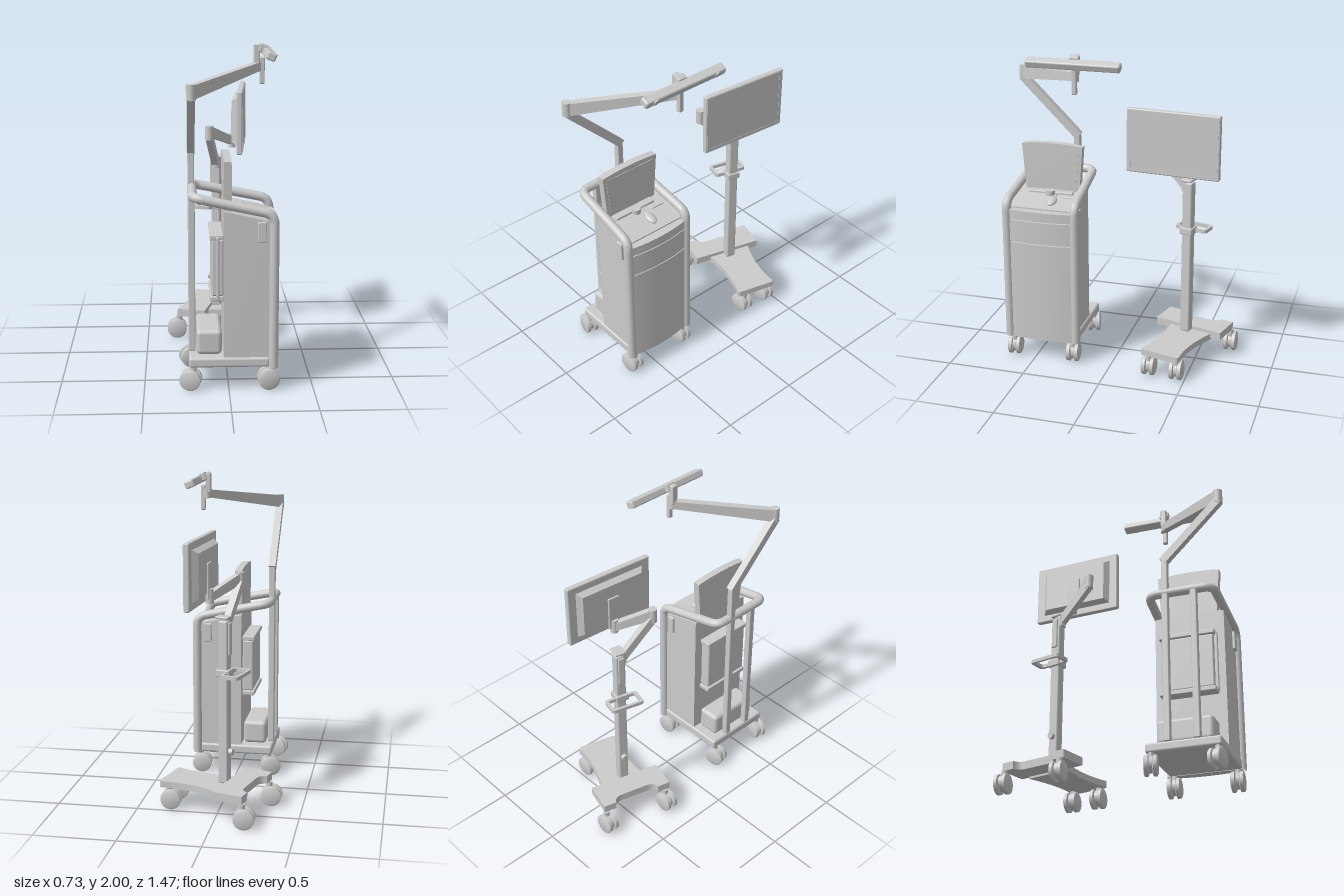
import * as THREE from 'three';
import { toCreasedNormals } from 'three/addons/utils/BufferGeometryUtils.js';
import { RoundedBoxGeometry } from 'three/addons/geometries/RoundedBoxGeometry.js';

const grey = new THREE.MeshStandardMaterial({ color: 0xcccccc, side: THREE.DoubleSide });
const V = (x, y, z) => new THREE.Vector3(x, y, z);

function add(parent, name, geometry, x = 0, y = 0, z = 0) {
  const mesh = new THREE.Mesh(geometry, grey);
  mesh.name = name;
  mesh.position.set(x, y, z);
  parent.add(mesh);
  return mesh;
}
// box given by its limits, with softened edges
function block(parent, name, x0, x1, y0, y1, z0, z1, r = 0.006) {
  const g = new RoundedBoxGeometry(x1 - x0, y1 - y0, z1 - z0, 2, r);
  return add(parent, name, g, (x0 + x1) / 2, (y0 + y1) / 2, (z0 + z1) / 2);
}
const cyl = (parent, name, r, h, x, y, z) => add(parent, name, new THREE.CylinderGeometry(r, r, h, 24), x, y, z);

// beam from a to b whose height tapers from h0 to h1
function beam(parent, name, a, b, w, h0, h1 = h0) {
  const g = new THREE.BoxGeometry(w, 1, a.distanceTo(b));
  const p = g.attributes.position;
  for (let i = 0; i < p.count; i++) p.setY(i, p.getY(i) * (p.getZ(i) < 0 ? h0 : h1));
  g.computeVertexNormals();
  const mesh = add(parent, name, g);
  mesh.position.copy(a).lerp(b, 0.5);
  mesh.lookAt(b);
  return mesh;
}
// tube along a polyline with rounded corners
function bentTube(parent, name, pts, r, bend, segments = 160) {
  const path = new THREE.CurvePath();
  let from = pts[0];
  for (let i = 1; i < pts.length - 1; i++) {
    const c = pts[i];
    const a = c.clone().add(pts[i - 1].clone().sub(c).setLength(bend));
    const b = c.clone().add(pts[i + 1].clone().sub(c).setLength(bend));
    path.add(new THREE.LineCurve3(from, a));
    path.add(new THREE.QuadraticBezierCurve3(a, c, b));
    from = b;
  }
  path.add(new THREE.LineCurve3(from, pts[pts.length - 1]));
  return add(parent, name, new THREE.TubeGeometry(path, segments, r, 14, false));
}
function extrude(shape, depth, steps = 1) {
  return new THREE.ExtrudeGeometry(shape, { depth, steps, bevelEnabled: false, curveSegments: 12 });
}
const polygon = (pts) => new THREE.Shape(pts.map(([x, y]) => new THREE.Vector2(x, y)));
function roundRect(w, h, r, Type = THREE.Shape) {
  const s = new Type();
  s.absarc(w / 2 - r, h / 2 - r, r, 0, Math.PI / 2);
  s.absarc(-w / 2 + r, h / 2 - r, r, Math.PI / 2, Math.PI);
  s.absarc(-w / 2 + r, -h / 2 + r, r, Math.PI, 1.5 * Math.PI);
  s.absarc(w / 2 - r, -h / 2 + r, r, 1.5 * Math.PI, 2 * Math.PI);
  s.closePath();
  return s;
}
// twin-wheel caster
function caster(parent, x, z, turn, top = 0.15) {
  const g = new THREE.Group();
  g.name = 'caster';
  g.position.set(x, 0, z);
  g.rotation.y = turn;
  for (const s of [-1, 1]) {
    const profile = [[0, -0.016], [0.05, -0.016], [0.063, -0.01], [0.063, 0.01], [0.05, 0.016], [0, 0.016]];
    const wheel = new THREE.LatheGeometry(profile.map(([r, y]) => new THREE.Vector2(r, y)), 28);
    add(g, 'wheel', toCreasedNormals(wheel.rotateX(Math.PI / 2), 0.6), 0, 0.063, s * 0.026);
  }
  add(g, 'casterHousing', new THREE.CylinderGeometry(0.05, 0.05, 0.02, 24).rotateX(Math.PI / 2), 0, 0.068, 0);
  cyl(g, 'casterStem', 0.02, top - 0.1, 0.015, 0.05 + top / 2, 0);
  parent.add(g);
}

function buildCart() {
  const cart = new THREE.Group();
  cart.name = 'equipmentCart';
  const zc = 0.445;
  // base and casters
  block(cart, 'cartBase', -0.235, 0.24, 0.14, 0.2, 0.215, 0.675, 0.015);
  for (const z of [0.25, 0.645]) {
    caster(cart, -0.225, z, z < zc ? 0.25 : -0.2);
    caster(cart, 0.235, z, 0.1);
  }
  // cabinet with a sloping top
  const side = polygon([[-0.03, 0.2], [0.24, 0.2], [0.24, 1.02], [-0.03, 1.08]]);
  add(cart, 'cabinet', extrude(side, 0.44), 0, 0, zc - 0.22);
  // bowed front panels
  for (const [y0, y1, name] of [[0.14, 0.797, 'frontPanel'], [0.803, 0.947, 'drawerFront'], [0.953, 1.012, 'topPanel']]) {
    const g = extrude(polygon([[0.235, y0], [0.272, y0], [0.272, y1], [0.235, y1]]), 0.44, 14);
    const p = g.attributes.position;
    for (let i = 0; i < p.count; i++) {
      const t = (p.getZ(i) - 0.22) / 0.22;
      if (p.getX(i) > 0.25) p.setX(i, 0.272 + 0.024 * (1 - t * t));
    }
    add(cart, name, toCreasedNormals(g, 0.5), 0, 0, zc - 0.22);
  }
  // handle frame running around the back and down the front corners
  const corners = [[0.262, 0.14, 0.667], [0.262, 1.062, 0.667], [-0.21, 1.16, 0.65]].map((c) => V(...c));
  const mirrored = corners.map((c) => V(c.x, c.y, 2 * zc - c.z)).reverse();
  bentTube(cart, 'handleFrame', [...corners, ...mirrored], 0.028, 0.06, 220);
  for (const s of [-1, 1]) block(cart, 'sideBracket', 0.165, 0.215, 0.9, 1.02, zc + s * 0.225 - 0.012, zc + s * 0.225 + 0.012);
  // rear posts, rear unit and storage box
  block(cart, 'rearPost', -0.235, -0.195, 0.2, 1.16, 0.51, 0.55);
  block(cart, 'mast', -0.235, -0.195, 0.2, 1.39, 0.33, 0.37);
  block(cart, 'rearUnit', -0.1, -0.03, 0.56, 0.9, 0.28, 0.61, 0.01);
  for (const y of [0.53, 0.9]) block(cart, 'rearUnitBracket', -0.11, -0.03, y, y + 0.03, 0.27, 0.62);
  for (const z of [0.3, 0.57]) block(cart, 'rearUnitRail', -0.075, -0.055, 0.54, 0.92, z, z + 0.06);
  block(cart, 'storageBox', -0.19, -0.04, 0.2, 0.35, 0.27, 0.62, 0.025);
  // display with a slightly arched top
  const shape = polygon([[-0.178, 1.07], [0.178, 1.07], [0.2, 1.366]]);
  shape.quadraticCurveTo(0, 1.392, -0.2, 1.366);
  add(cart, 'display', extrude(shape, 0.045).rotateY(Math.PI / 2), -0.03, 0, zc);
  const inner = polygon([[-0.158, 1.1], [0.158, 1.1], [0.176, 1.345], [-0.176, 1.345]]);
  add(cart, 'displayScreen', extrude(inner, 0.004).rotateY(Math.PI / 2), 0.014, 0, zc);
  block(cart, 'displayFoot', -0.03, 0.06, 1.04, 1.075, 0.3, 0.59);
  // worktop items
  cyl(cart, 'controlKnob', 0.03, 0.06, 0.06, 1.055, 0.445);
  block(cart, 'socketBlock', 0.04, 0.1, 1.035, 1.06, 0.26, 0.35);
  const mouse = add(cart, 'mouse', new THREE.SphereGeometry(1, 24, 14), 0.15, 1.045, 0.405);
  mouse.scale.set(0.05, 0.017, 0.03);
  mouse.rotation.z = -0.2;
  const cable = new THREE.CatmullRomCurve3([V(0.02, 1.075, 0.32), V(0.04, 1.07, 0.37), V(0.08, 1.06, 0.4), V(0.11, 1.05, 0.4)]);
  add(cart, 'mouseCable', new THREE.TubeGeometry(cable, 20, 0.004, 6));
  // articulated camera arm
  beam(cart, 'lowerArm', V(-0.215, 1.375, 0.34), V(-0.215, 1.745, 0.71), 0.045, 0.05);
  cyl(cart, 'armElbow', 0.028, 0.09, -0.215, 1.77, 0.705);
  beam(cart, 'upperArm', V(-0.215, 1.77, 0.7), V(0.19, 1.865, 0.225), 0.045, 0.08, 0.05);
  cyl(cart, 'armWrist', 0.022, 0.06, 0.19, 1.865, 0.225);
  block(cart, 'cameraRod', 0.2, 0.23, 1.76, 1.92, 0.21, 0.24);
  block(cart, 'cameraBracket', 0.165, 0.2, 1.87, 1.995, 0.205, 0.245);
  // camera bar: arched, tapering to its ends
  const camera = new THREE.Group();
  camera.name = 'cameraBar';
  camera.position.set(0.25, 1.955, 0.222);
  camera.rotation.z = -0.4;
  const barGeo = new RoundedBoxGeometry(0.06, 0.055, 0.585, 12, 0.012);
  const bp = barGeo.attributes.position;
  for (let i = 0; i < bp.count; i++) {
    const t = Math.abs(bp.getZ(i)) / 0.2925;
    bp.setY(i, bp.getY(i) * (1 - 0.15 * t * t) + 0.007 - 0.016 * t * t);
  }
  add(camera, 'cameraHousing', barGeo);
  for (const z of [-0.225, 0.225]) {
    add(camera, 'lens', new THREE.CylinderGeometry(0.018, 0.018, 0.01, 24).rotateZ(Math.PI / 2), 0.029, -0.003, z);
  }
  block(camera, 'cameraMount', -0.06, -0.02, -0.025, 0.025, -0.03, 0.03);
  cart.add(camera);
  return cart;
}

function buildMonitorStand() {
  const stand = new THREE.Group();
  stand.name = 'monitorStand';
  const lower = new THREE.Group();
  lower.name = 'standBody';
  lower.position.set(-0.035, 0, -0.43);
  lower.rotation.y = -0.26;
  stand.add(lower);
  // rear cross piece with a concave back edge
  const bar = polygon([[-0.215, -0.232], [-0.03, -0.232], [-0.025, 0.232], [-0.215, 0.232], [-0.215, 0.15]]);
  bar.quadraticCurveTo(-0.17, 0.14, -0.17, 0.09);
  bar.lineTo(-0.17, -0.09);
  bar.quadraticCurveTo(-0.17, -0.14, -0.215, -0.15);
  add(lower, 'baseCrossPiece', extrude(bar, 0.05).rotateX(-Math.PI / 2), 0, 0.15, 0);
  // front tongue with flared end
  const tongue = new THREE.Shape();
  tongue.moveTo(-0.04, -0.13);
  tongue.quadraticCurveTo(0.2, -0.08, 0.36, -0.125);
  tongue.quadraticCurveTo(0.38, -0.125, 0.38, -0.105);
  tongue.lineTo(0.38, 0.12);
  tongue.quadraticCurveTo(0.38, 0.14, 0.36, 0.14);
  tongue.quadraticCurveTo(0.2, 0.1, -0.04, 0.165);
  add(lower, 'baseTongue', extrude(tongue, 0.04).rotateX(-Math.PI / 2), 0, 0.137, 0);
  caster(stand, -0.195, -0.695, 0);
  caster(stand, -0.305, -0.29, 0);
  caster(stand, 0.28, -0.265, 0);
  caster(stand, 0.295, -0.445, 0);
  // column, handle loop and knob
  block(lower, 'column', -0.03, 0.03, 0.18, 1.19, -0.032, 0.032, 0.01);
  block(lower, 'columnSlide', -0.042, -0.028, 0.98, 1.18, -0.02, 0.02);
  block(lower, 'columnCap', -0.035, 0.05, 1.2, 1.215, -0.035, 0.035);
  block(lower, 'columnNeck', -0.02, 0.02, 1.18, 1.205, -0.018, 0.018);
  const loop = roundRect(0.115, 0.215, 0.02);
  loop.holes.push(roundRect(0.08, 0.175, 0.012, THREE.Path));
  add(lower, 'handleLoop', extrude(loop, 0.022).rotateX(-Math.PI / 2), -0.075, 0.86, -0.005);
  block(lower, 'handleClamp', -0.045, 0.04, 0.85, 0.895, -0.042, 0.042);
  add(lower, 'knob', new THREE.CylinderGeometry(0.02, 0.02, 0.03, 20).rotateZ(Math.PI / 2), -0.04, 0.38, 0);
  // folding monitor arm
  cyl(stand, 'armBase', 0.03, 0.07, -0.04, 1.165, -0.41);
  beam(stand, 'standLowerArm', V(-0.04, 1.15, -0.42), V(-0.09, 1.375, -0.2), 0.042, 0.05);
  cyl(stand, 'standElbow', 0.027, 0.09, -0.09, 1.395, -0.2);
  beam(stand, 'standUpperArm', V(-0.09, 1.405, -0.2), V(0.065, 1.315, -0.37), 0.042, 0.065, 0.05);
  cyl(stand, 'standWrist', 0.024, 0.09, 0.065, 1.32, -0.37);
  // monitor
  const monitor = new THREE.Group();
  monitor.name = 'monitor';
  monitor.position.set(0.122, 1.474, -0.362);
  monitor.rotation.y = -0.09;
  block(monitor, 'monitorCase', -0.018, 0.018, -0.2, 0.2, -0.294, 0.294, 0.008);
  const frame = roundRect(0.57, 0.385, 0.006);
  frame.holes.push(roundRect(0.535, 0.345, 0.003, THREE.Path));
  add(monitor, 'screenBezel', extrude(frame, 0.004).rotateY(Math.PI / 2), 0.016, 0, 0);
  const back = new THREE.BoxGeometry(0.035, 0.31, 0.48);
  const p = back.attributes.position;
  for (let i = 0; i < p.count; i++) if (p.getX(i) < 0) p.setXYZ(i, p.getX(i), p.getY(i) * 0.85, p.getZ(i) * 0.88);
  back.computeVertexNormals();
  add(monitor, 'monitorBack', back, -0.034, 0, 0);
  block(monitor, 'mountPlate', -0.062, -0.048, -0.17, 0.05, -0.04, 0.04);
  stand.add(monitor);
  return stand;
}

export function createModel() {
  const model = new THREE.Group();
  model.name = 'cameraCartAndMonitorStand';
  model.add(buildCart(), buildMonitorStand());
  return model;
}
